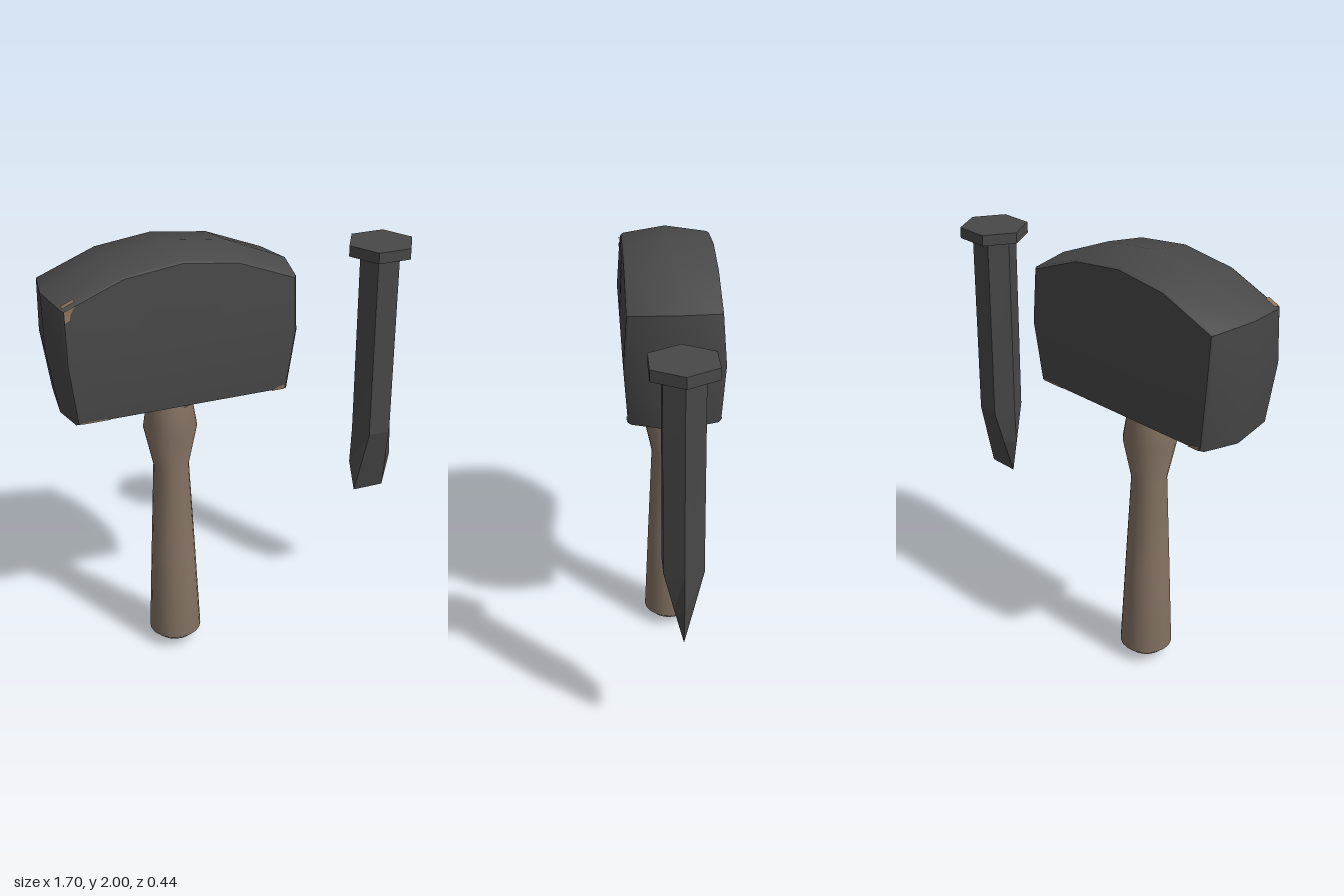
import * as THREE from 'three';
import { toCreasedNormals } from 'three/addons/utils/BufferGeometryUtils.js';

const iron = new THREE.MeshStandardMaterial({ color: 0x484848 });
iron.name = 'dark iron';
const wood = new THREE.MeshStandardMaterial({ color: 0x857364 });
wood.name = 'worn wood';
const wear = new THREE.MeshStandardMaterial({ color: 0x8c7358, side: THREE.DoubleSide });
wear.name = 'rusty wear';
const soot = new THREE.MeshStandardMaterial({ color: 0x484848, side: THREE.DoubleSide });
soot.name = 'iron stain';

function addMesh(parent, name, geometry, material) {
  const mesh = new THREE.Mesh(geometry, material);
  mesh.name = name;
  parent.add(mesh);
  return mesh;
}

// Skin between rings of [x, y, z] points, closed by fans to two centre points
function loft(rings, startCentre, endCentre, crease) {
  const pos = [];
  const tri = (a, b, c) => pos.push(...a, ...b, ...c);
  const n = rings[0].length;
  const last = rings[rings.length - 1];
  for (let j = 0; j < n; j++) {
    const k = (j + 1) % n;
    for (let i = 0; i < rings.length - 1; i++) {
      const r = rings[i], s = rings[i + 1];
      tri(r[j], r[k], s[k]);
      tri(r[j], s[k], s[j]);
    }
    tri(rings[0][k], rings[0][j], startCentre);
    tri(last[j], last[k], endCentre);
  }
  const geo = new THREE.BufferGeometry();
  geo.setAttribute('position', new THREE.Float32BufferAttribute(pos, 3));
  geo.computeVertexNormals();
  return toCreasedNormals(geo, crease);
}

// Small flat patch from a convex loop of points
function patch(points) {
  const pos = [];
  for (let i = 1; i < points.length - 1; i++) pos.push(...points[0], ...points[i], ...points[i + 1]);
  const geo = new THREE.BufferGeometry();
  geo.setAttribute('position', new THREE.Float32BufferAttribute(pos, 3));
  geo.computeVertexNormals();
  return geo;
}

// Full outline from its right half, running bottom to crown
function mirrorOutline(half) {
  const left = half.slice(0, -1).reverse().map(([x, y, z]) => [-x, y, z]);
  return [...half, ...left];
}

function buildHammer() {
  const hammer = new THREE.Group();
  hammer.name = 'hammer';

  // Head: widest in the middle, bevelled to two slightly bulging faces
  const middle = mirrorOutline([[0.49, 1.30, 0], [0.535, 1.59, 0], [0.54, 1.85, 0], [0.26, 1.97, 0], [0, 2.0, 0]]);
  const shoulder = mirrorOutline([[0.472, 1.325, 0.19], [0.507, 1.60, 0.207], [0.507, 1.84, 0.19],
    [0.25, 1.943, 0.19], [0, 1.975, 0.19]]);
  const rim = shoulder.map(([x, y, z]) => [x * 0.98, 1.62 + (y - 1.62) * 0.98, z + 0.012]);
  const back = (ring) => ring.map(([x, y, z]) => [x, y, -z]);
  addMesh(hammer, 'hammerHead',
    loft([back(rim), back(shoulder), middle, shoulder, rim], [0, 1.62, -0.22], [0, 1.62, 0.22], 0.7), iron);

  // Handle
  const profile = [[0, 0], [0.05, 0.015], [0.085, 0.035], [0.12, 0.068], [0.101, 0.5], [0.08, 0.95],
    [0.12, 1.14], [0.097, 1.29], [0.094, 1.34]].map(([r, y]) => new THREE.Vector2(r, y));
  addMesh(hammer, 'handle', new THREE.LatheGeometry(profile, 20), wood);

  // Dark stain where the handle enters the head
  const collar = addMesh(hammer, 'handleCollar', new THREE.CylinderGeometry(0.098, 0.1, 0.025, 20, 1, true), soot);
  collar.position.y = 1.3025;
  for (const turn of [0.3, 0.3 + Math.PI]) {
    const stain = addMesh(hammer, 'collarStain',
      new THREE.CylinderGeometry(0.099, 0.104, 0.04, 6, 1, true, turn, 0.75), soot);
    stain.position.y = 1.285;
  }

  // Worn edges: lower corners on both faces
  for (const turn of [0, Math.PI]) {
    const chips = new THREE.Group();
    chips.name = 'wornEdges';
    chips.rotation.y = turn;
    addMesh(chips, 'lowerChip', patch([[0.40, 1.33, 0.206], [0.456, 1.33, 0.206], [0.456, 1.352, 0.208], [0.42, 1.342, 0.207]]), wear);
    addMesh(chips, 'lowerChipUnderside', patch([[0.40, 1.33, 0.206], [0.456, 1.33, 0.206], [0.455, 1.317, 0.165], [0.41, 1.319, 0.18]]), wear);
    addMesh(chips, 'lowerScratch', patch([[-0.45, 1.331, 0.206], [-0.33, 1.331, 0.206], [-0.35, 1.338, 0.206], [-0.45, 1.337, 0.206]]), wear);
    hammer.add(chips);
  }

  // Worn upper corner on the front
  addMesh(hammer, 'upperChip', patch([[-0.496, 1.838, 0.206], [-0.496, 1.79, 0.21], [-0.475, 1.8, 0.209],
    [-0.47, 1.825, 0.207], [-0.45, 1.856, 0.206]]), wear);
  addMesh(hammer, 'upperChipTop', patch([[-0.5, 1.848, 0.195], [-0.45, 1.87, 0.195], [-0.45, 1.872, 0.17], [-0.5, 1.85, 0.17]]), wear);
  return hammer;
}

function buildChisel() {
  const chisel = new THREE.Group();
  chisel.name = 'chisel';

  // Hexagon section: half width a at the sides, b at the flats, half depth w
  const hex = (y, a, b, w) => [[-b, y, w], [b, y, w], [a, y, 0], [b, y, -w], [-b, y, -w], [-a, y, 0]];

  // Shaft narrowing to a flat blade
  const shaft = [hex(0.605, 0.075, 0.075, 0), hex(0.77, 0.107, 0.063, 0.0425),
    hex(0.94, 0.1, 0.052, 0.085), hex(1.82, 0.1, 0.052, 0.085)];
  addMesh(chisel, 'chiselShaft', loft(shaft, [0, 0.605, 0], [0, 1.82, 0], 0.1), iron);

  // Striking cap
  const cap = [hex(1.81, 0.155, 0.078, 0.135), hex(1.86, 0.155, 0.078, 0.135)];
  addMesh(chisel, 'chiselCap', loft(cap, [0, 1.81, 0], [0, 1.86, 0], 0.1), iron);
  return chisel;
}

export function createModel() {
  const model = new THREE.Group();
  model.name = 'hammerAndChisel';
  const hammer = buildHammer();
  hammer.position.x = -0.31;
  const chisel = buildChisel();
  chisel.position.x = 0.695;
  model.add(hammer, chisel);
  return model;
}
